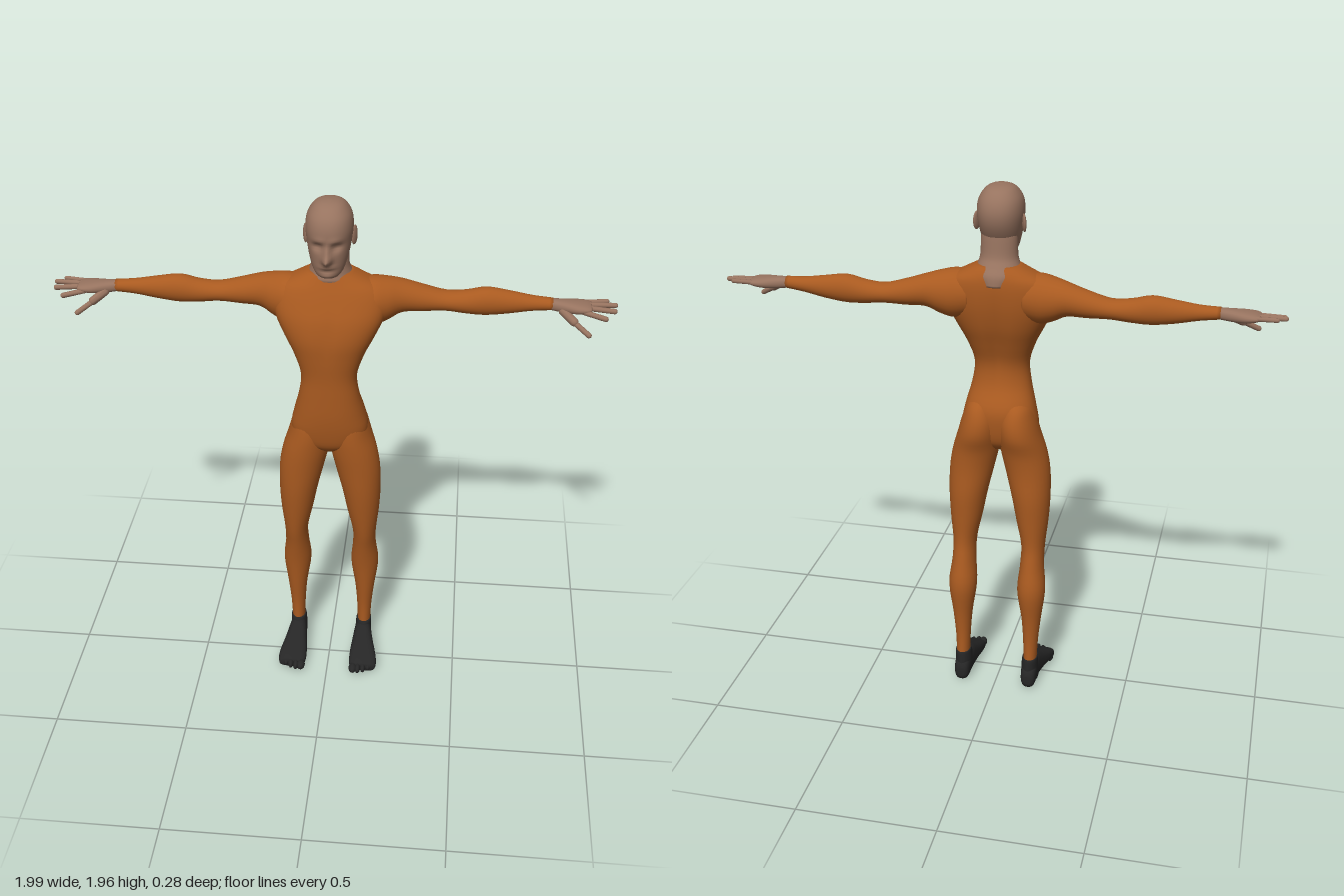
import * as THREE from 'three';

const suit = new THREE.MeshStandardMaterial({ name: 'orange suit', color: 0xa95a20 });
const skin = new THREE.MeshStandardMaterial({ name: 'skin', color: 0x97735f });
const black = new THREE.MeshStandardMaterial({ name: 'black shoes', color: 0x262626 });

const gauss = (d, s) => Math.exp(-(d * d) / (s * s));
// Catmull-Rom blend of four numbers
const blend = (a, b, c, d, t) =>
  b + 0.5 * t * (c - a + t * (2 * a - 5 * b + 4 * c - d + t * (3 * (b - c) + d - a)));

// Smooth closed loft along an axis. Each ring is [position, u0, u1, v0, v1];
// (u, v) is (y, z) for x, (z, x) for y and (x, y) for z.
function loft(axis, rings, { seg = 28, steps = 4, power = 2, warp = null } = {}) {
  const order = { x: [0, 1, 2], y: [1, 2, 0], z: [2, 0, 1] }[axis];
  const pos = [], idx = [], rows = [];
  for (let i = 0; i < rings.length - 1; i++) {
    const [a, b, c, d] = [-1, 0, 1, 2].map(k => rings[Math.min(Math.max(i + k, 0), rings.length - 1)]);
    for (let s = 0; s < steps; s++) rows.push(b.map((v, k) => blend(a[k], v, c[k], d[k], s / steps)));
  }
  rows.push(rings[rings.length - 1]);
  const put = (w, u, v) => {
    const p = [0, 0, 0];
    p[order[0]] = w; p[order[1]] = u; p[order[2]] = v;
    const q = new THREE.Vector3(...p);
    if (warp) warp(q);
    pos.push(q.x, q.y, q.z);
  };
  const round = v => Math.sign(v) * Math.abs(v) ** (2 / power);
  rows.forEach(([w, u0, u1, v0, v1], i) => {
    for (let j = 0; j < seg; j++) {
      const t = (j / seg) * Math.PI * 2;
      put(w, (u0 + u1) / 2 + ((u1 - u0) / 2) * round(Math.cos(t)),
        (v0 + v1) / 2 + ((v1 - v0) / 2) * round(Math.sin(t)));
      if (i === rows.length - 1) continue;
      const a = i * seg + j, b = i * seg + ((j + 1) % seg);
      idx.push(a, b, b + seg, a, b + seg, a + seg);
    }
  });
  // end caps
  const last = rows.length - 1, n = rows.length * seg;
  for (const r of [rows[0], rows[last]]) put(r[0], (r[1] + r[2]) / 2, (r[3] + r[4]) / 2);
  for (let j = 0; j < seg; j++) {
    const k = (j + 1) % seg;
    idx.push(n, k, j, n + 1, last * seg + j, last * seg + k);
  }
  const g = new THREE.BufferGeometry();
  g.setAttribute('position', new THREE.Float32BufferAttribute(pos, 3));
  g.setIndex(idx);
  g.computeVertexNormals();
  return g;
}

// Rings along y that are symmetric about x = 0: [y, z0, z1, half width]
const symmetric = rings => rings.map(([y, z0, z1, w]) => [y, z0, z1, -w, w]);

// Rounded digit between two points
function digit(a, b, r) {
  const p = new THREE.Vector3(...a), q = new THREE.Vector3(...b), d = q.clone().sub(p);
  const g = new THREE.CapsuleGeometry(r, d.length() - r, 4, 10);
  g.applyQuaternion(new THREE.Quaternion().setFromUnitVectors(new THREE.Vector3(0, 1, 0), d.normalize()));
  const m = p.add(q).multiplyScalar(0.5);
  return g.translate(m.x, m.y, m.z);
}

const ball = (x, y, z, rx, ry, rz) => new THREE.SphereGeometry(1, 16, 12).scale(rx, ry, rz).translate(x, y, z);

function mirrored(geometry) {
  const g = geometry.clone().scale(-1, 1, 1), i = g.index.array;
  for (let k = 0; k < i.length; k += 3) [i[k], i[k + 1]] = [i[k + 1], i[k]];
  g.computeVertexNormals();
  return g;
}

export function createModel() {
  const model = new THREE.Group();
  const add = (name, geometry, material) => {
    const mesh = new THREE.Mesh(geometry, material);
    mesh.name = name;
    model.add(mesh);
  };
  const pair = (name, geometry, material) => {
    add('left' + name, geometry, material);
    add('right' + name, mirrored(geometry), material);
  };

  // Torso with spine groove
  add('torso', loft('y', symmetric([
    [0.985, -0.06, 0.03, 0.04], [1.02, -0.09, 0.06, 0.12], [1.08, -0.105, 0.076, 0.14],
    [1.15, -0.105, 0.085, 0.128], [1.23, -0.068, 0.088, 0.108], [1.31, -0.06, 0.09, 0.1],
    [1.39, -0.085, 0.097, 0.125], [1.46, -0.11, 0.1, 0.16], [1.53, -0.125, 0.088, 0.192],
    [1.59, -0.13, 0.065, 0.2], [1.635, -0.128, 0.045, 0.18], [1.665, -0.12, 0.03, 0.125],
    [1.69, -0.105, 0.018, 0.075],
  ]), {
    seg: 48, power: 2.3,
    warp: p => {
      if (p.z < -0.02) p.z += 0.013 * gauss(p.x, 0.025) * gauss(p.y - 1.4, 0.2);
      if (p.z > 0.03) p.z -= 0.006 * gauss(p.x, 0.02) * gauss(p.y - 1.48, 0.08);
    },
  }), suit);

  // Neck, with the skin reaching down the nape
  add('neck', loft('y', symmetric([
    [1.625, -0.133, -0.04, 0.05], [1.66, -0.128, 0.025, 0.085], [1.69, -0.108, 0.026, 0.074],
    [1.72, -0.092, 0.022, 0.066], [1.78, -0.085, 0.02, 0.064], [1.82, -0.08, 0.02, 0.06],
  ])), skin);

  // Head with brow, eye sockets, nose, lips and chin
  add('head', loft('y', symmetric([
    [1.698, 0.025, 0.06, 0.018], [1.708, 0, 0.076, 0.038], [1.73, -0.035, 0.085, 0.054],
    [1.775, -0.075, 0.092, 0.068], [1.825, -0.102, 0.095, 0.077], [1.87, -0.11, 0.099, 0.081],
    [1.91, -0.1, 0.088, 0.075], [1.94, -0.076, 0.062, 0.056], [1.954, -0.045, 0.034, 0.034],
    [1.959, -0.01, 0.004, 0.006],
  ]), {
    seg: 64, steps: 6, power: 2.2,
    warp: p => {
      if (p.z < 0.03) return;
      const { x, y } = p, ax = Math.abs(x);
      p.z += 0.036 * gauss(x, 0.014) * gauss(y - 1.778, 0.016)
        + 0.016 * gauss(x, 0.011) * gauss(y - 1.805, 0.022)
        - 0.014 * gauss(ax - 0.032, 0.018) * gauss(y - 1.822, 0.013)
        + 0.005 * gauss(ax - 0.025, 0.025) * gauss(y - 1.846, 0.011)
        + 0.008 * gauss(x, 0.024) * gauss(y - 1.748, 0.008)
        - 0.005 * gauss(x, 0.028) * gauss(y - 1.738, 0.004)
        + 0.007 * gauss(x, 0.025) * gauss(y - 1.715, 0.012);
    },
  }), skin);
  pair('Ear', ball(0, 0, 0, 0.007, 0.034, 0.02).rotateY(-0.4).rotateX(-0.15).translate(0.083, 1.828, -0.018), skin);

  // Arms
  pair('Arm', loft('x', [
    [0.09, 1.5, 1.655, -0.12, 0.03], [0.15, 1.485, 1.662, -0.132, 0.035], [0.2, 1.5, 1.655, -0.134, 0.015],
    [0.25, 1.525, 1.643, -0.132, -0.012], [0.32, 1.527, 1.622, -0.13, -0.03], [0.4, 1.53, 1.602, -0.127, -0.042],
    [0.47, 1.523, 1.607, -0.125, -0.042], [0.54, 1.52, 1.622, -0.125, -0.04], [0.62, 1.53, 1.612, -0.118, -0.045],
    [0.7, 1.545, 1.6, -0.106, -0.05], [0.77, 1.553, 1.596, -0.096, -0.05],
  ]), suit);

  // Hands
  pair('Palm', loft('x', [
    [0.755, 1.556, 1.594, -0.093, -0.053], [0.8, 1.55, 1.592, -0.1, -0.043], [0.85, 1.55, 1.589, -0.113, -0.028],
    [0.885, 1.556, 1.585, -0.115, -0.026], [0.903, 1.563, 1.58, -0.108, -0.034],
  ], { seg: 20, power: 2.4 }), skin);
  const fingers = {
    IndexFinger: [[0.87, 1.566, -0.038], [0.955, 1.55, -0.018], 0.0095],
    MiddleFinger: [[0.88, 1.572, -0.058], [0.986, 1.566, -0.05], 0.0095],
    RingFinger: [[0.88, 1.573, -0.08], [0.99, 1.574, -0.083], 0.009],
    LittleFinger: [[0.87, 1.572, -0.102], [0.962, 1.576, -0.11], 0.008],
    ThumbBase: [[0.8, 1.562, -0.056], [0.85, 1.53, -0.018], 0.015],
    Thumb: [[0.84, 1.535, -0.024], [0.9, 1.498, 0.012], 0.0095],
  };
  for (const [name, f] of Object.entries(fingers)) pair(name, digit(...f), skin);

  // Legs, whose tops form the hips and buttocks
  pair('Leg', loft('y', [
    [0.11, -0.125, -0.05, 0.108, 0.158], [0.2, -0.12, -0.048, 0.105, 0.162], [0.3, -0.126, -0.036, 0.097, 0.172],
    [0.42, -0.14, -0.02, 0.08, 0.186], [0.52, -0.12, 0, 0.087, 0.176], [0.6, -0.104, 0.02, 0.087, 0.176],
    [0.7, -0.106, 0.038, 0.066, 0.186], [0.8, -0.11, 0.052, 0.046, 0.191], [0.9, -0.106, 0.06, 0.022, 0.188],
    [0.98, -0.112, 0.066, 0.004, 0.174], [1.05, -0.131, 0.068, -0.002, 0.152], [1.11, -0.126, 0.062, 0, 0.135],
    [1.16, -0.1, 0.04, 0.02, 0.115], [1.19, -0.05, 0, 0.04, 0.08],
  ]), suit);

  // Shoes
  pair('ShoeAnkle', loft('y', [
    [0.03, -0.138, -0.02, 0.102, 0.164], [0.08, -0.134, -0.03, 0.1, 0.163], [0.115, -0.132, -0.038, 0.102, 0.163],
    [0.125, -0.13, -0.042, 0.104, 0.161],
  ]), black);
  pair('Shoe', loft('z', [
    [-0.141, 0.12, 0.145, 0.025, 0.06], [-0.125, 0.104, 0.16, 0.005, 0.09], [-0.06, 0.098, 0.165, 0.006, 0.12],
    [0, 0.092, 0.177, 0.008, 0.098], [0.05, 0.087, 0.19, 0.006, 0.074], [0.09, 0.087, 0.196, 0.004, 0.054],
    [0.115, 0.095, 0.19, 0.008, 0.038],
  ], { power: 2.6 }), black);
  for (let i = 0; i < 5; i++) {
    const r = i ? 0.011 : 0.016;
    pair('Toe' + (i + 1), ball(0.104 + i * 0.02, 0.023, 0.118 - 0.0035 * i * (i - 1), r, 0.017, 0.026), black);
  }
  return model;
}
